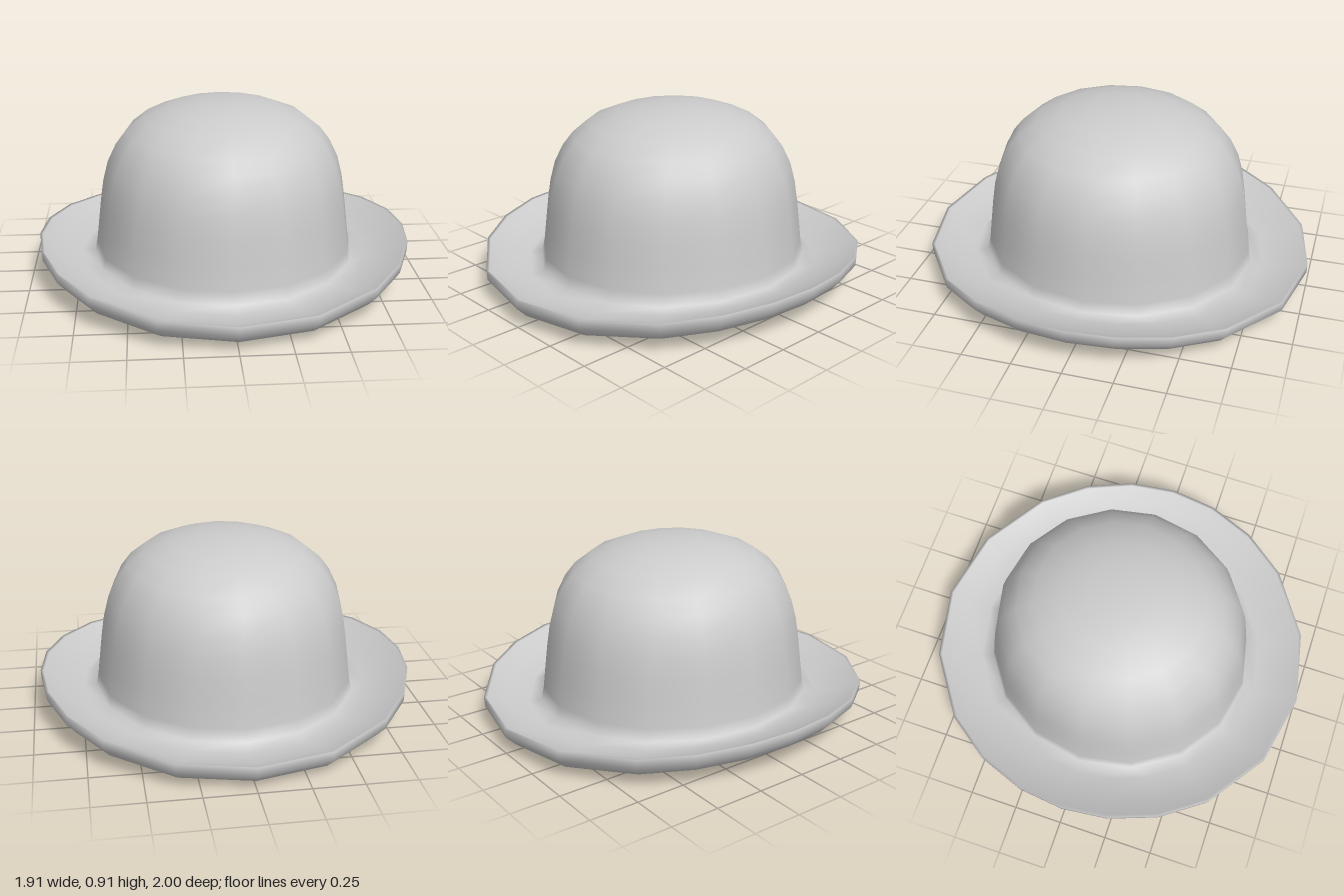
import * as THREE from 'three';
import { mergeVertices } from 'three/addons/utils/BufferGeometryUtils.js';

// Steps of a quarter turn in degrees: the brim has two side points where the crown has one
const BRIM = [0, 22.5, 45, 61, 76, 90];
const CROWN = [0, 22.5, 45, 67.5, 67.5, 90];

// Mirrors the quarter into a full turn, measured from the front
function fullTurn(quarter) {
  const half = [...quarter, ...quarter.slice(0, -1).reverse().map((a) => 180 - a)];
  const turn = [...half, ...half.slice(1, -1).reverse().map((a) => 360 - a)];
  return turn.map(THREE.MathUtils.degToRad);
}

// Sweeps profile rows of [radius, height, side lift] around an oval
function ovalShell(rows) {
  const positions = [];
  const index = [];
  rows.forEach(({ row: [r, y, lift], angles }, j) => {
    const n = angles.length;
    angles.forEach((t, i) => {
      const z = r * Math.cos(t);
      const curl = lift * Math.abs(Math.sin(t)) ** 2.6;
      positions.push(r * 0.957 * Math.sin(t), y + curl + 0.005 * z, z);
      if (j === rows.length - 1) return;
      const a = j * n + i;
      const b = j * n + ((i + 1) % n);
      index.push(a, b, b + n, a, b + n, a + n);
    });
  });
  const geometry = new THREE.BufferGeometry();
  geometry.setAttribute('position', new THREE.Float32BufferAttribute(positions, 3));
  geometry.setIndex(index);
  const welded = mergeVertices(geometry, 1e-4);
  welded.computeVertexNormals();
  return welded;
}

export function createModel() {
  const hat = new THREE.Group();
  hat.name = 'roundHat';

  // Shallow hollow underneath, brim underside, rolled lip and brim top
  const brim = [
    [0, 0.1, 0], [0.3, 0.09, 0], [0.54, 0.065, 0], [0.6, 0.022, 0.005],
    [0.7, 0.012, 0.022], [0.84, 0.007, 0.048], [0.95, 0.042, 0.07],
    [0.997, 0.09, 0.075], [1.0, 0.139, 0.075], [0.985, 0.135, 0.073],
    [0.9, 0.1, 0.06], [0.77, 0.08, 0.035],
  ];
  // Crown from its base up to the peak
  const crown = [
    [0.705, 0.1, 0.015], [0.692, 0.165, 0.008], [0.677, 0.29, 0],
    [0.663, 0.4, 0], [0.647, 0.5, 0], [0.62, 0.6, 0], [0.575, 0.69, 0],
    [0.52, 0.76, 0], [0.43, 0.828, 0], [0.3, 0.877, 0], [0.16, 0.903, 0],
    [0, 0.908, 0],
  ];
  const rows = [
    ...brim.map((row) => ({ row, angles: fullTurn(BRIM) })),
    ...crown.map((row) => ({ row, angles: fullTurn(CROWN) })),
  ];

  const mesh = new THREE.Mesh(ovalShell(rows), new THREE.MeshStandardMaterial({ color: 0xcccccc }));
  mesh.name = 'crownAndBrim';
  hat.add(mesh);
  return hat;
}
